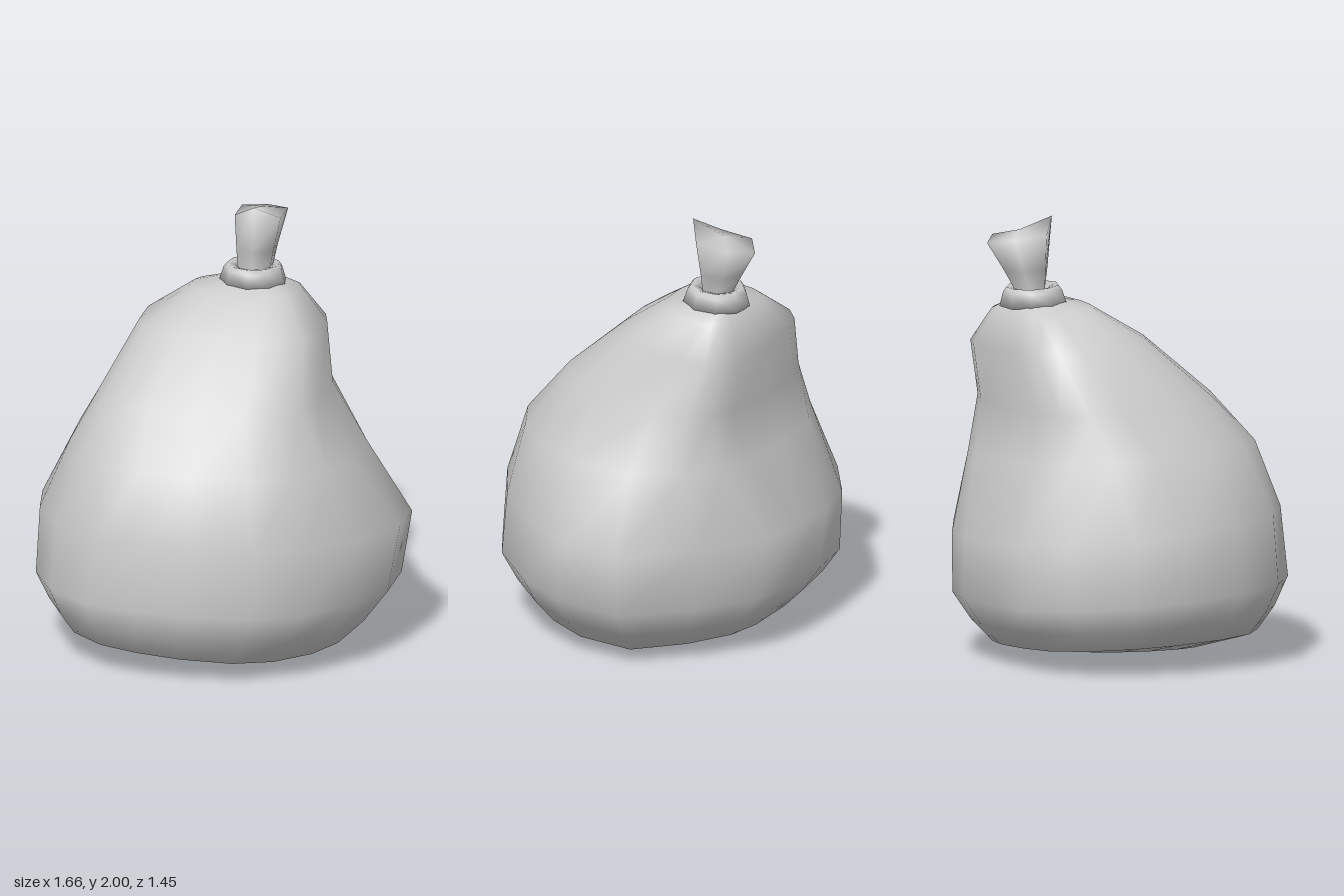
import * as THREE from 'three';

const material = new THREE.MeshStandardMaterial({ color: 0xcccccc });

// Skins closed rings of points (listed bottom to top) and closes both ends with a centre point.
function loft(rings, bottom, top) {
  const n = rings[0].length;
  const points = [...rings.flat(), bottom, top];
  const b = rings.length * n, t = b + 1, last = b - n;
  const index = [];
  for (let i = 0; i < n; i++) {
    const j = (i + 1) % n;
    for (let r = 0; r < last; r += n) {
      index.push(r + i, r + j, r + n + j, r + i, r + n + j, r + n + i);
    }
    index.push(b, j, i, t, last + i, last + j);
  }
  const geometry = new THREE.BufferGeometry();
  geometry.setAttribute('position', new THREE.Float32BufferAttribute(points.flat(), 3));
  geometry.setIndex(index);
  geometry.computeVertexNormals();
  return geometry;
}

function part(name, geometry) {
  const mesh = new THREE.Mesh(geometry, material);
  mesh.name = name;
  return mesh;
}

// Lopsided plan of the full belly, from the front round through +x.
const belly = [
  [0, 0.72], [0.28, 0.67], [0.5, 0.53], [0.7, 0.28], [0.82, 0.02], [0.82, -0.26],
  [0.5, -0.52], [0.2, -0.69], [0, -0.73], [-0.24, -0.73], [-0.44, -0.69], [-0.65, -0.53],
  [-0.79, -0.26], [-0.83, 0], [-0.79, 0.26], [-0.66, 0.52], [-0.45, 0.67], [-0.22, 0.71],
].map(([x, z]) => [x / 0.825, z / 0.725]);

// One section of the sack: limits in x and z, tilts, and how far it is a rounded square.
function sackRing([y, x0, x1, z0, z1, tiltX, tiltZ, square]) {
  return belly.map(([bx, bz], i) => {
    const a = (i / belly.length) * Math.PI * 2;
    const s = Math.sin(a), c = Math.cos(a);
    // The back corners are squarer than the front, the left one most of all
    const power = c > 0 ? 0.75 : s > 0 ? 0.52 : 0.68;
    const soft = (k) => Math.sign(k) * Math.abs(k) ** power;
    const u = THREE.MathUtils.lerp(bx, soft(s), square);
    const v = THREE.MathUtils.lerp(bz, soft(c), square);
    return [
      (x0 + x1) / 2 + (u * (x1 - x0)) / 2,
      y + tiltX * u + tiltZ * v,
      (z0 + z1) / 2 + (v * (z1 - z0)) / 2,
    ];
  });
}

export function createModel() {
  const model = new THREE.Group();
  model.name = 'tiedSack';

  // Sack body: y, x limits, z limits, tilt along x, tilt along z, squareness
  const sections = [
    [0.04, -0.44, 0.38, -0.34, 0.36, -0.03, -0.01, 0.3],
    [0.095, -0.7, 0.56, -0.53, 0.59, -0.04, 0.015, 0.3],
    [0.2, -0.77, 0.68, -0.62, 0.67, -0.03, 0.025, 0.25],
    [0.33, -0.83, 0.785, -0.7, 0.73, -0.02, 0.035, 0.2],
    [0.63, -0.82, 0.83, -0.72, 0.7, -0.025, 0.05, 0],
    [0.96, -0.67, 0.63, -0.59, 0.6, -0.025, 0.025, 0.55],
    [1.19, -0.555, 0.465, -0.54, 0.4, 0, 0.02, 0.95],
    [1.45, -0.41, 0.415, -0.57, 0.1, -0.01, 0.02, 1],
    [1.595, -0.2, 0.29, -0.49, -0.12, 0, 0.02, 1],
    [1.63, -0.01, 0.17, -0.43, -0.26, 0, 0, 1],
  ];
  model.add(part('sackBody', loft(sections.map(sackRing), [0.12, 0, 0.1], [0.08, 1.63, -0.35])));

  // Cord tied round the neck, wider below and dipping slightly to the back
  const cordProfile = [
    [0.07, -0.045], [0.155, -0.04], [0.135, 0.025], [0.12, 0.045], [0.08, 0.035], [0.07, -0.045],
  ].map(([r, y]) => new THREE.Vector2(r, y));
  const cord = part('neckCord', new THREE.LatheGeometry(cordProfile, 9));
  cord.position.set(0.078, 1.65, -0.34);
  cord.rotation.x = -0.05;
  model.add(cord);

  // Gathered cloth above the cord: six-sided, flaring to a slanted, peaked mouth
  const neck = (x, z, rx, rz, heights) => heights.map((y, i) => {
    const a = (i / 6) * Math.PI * 2;
    return [x + (rx * Math.sin(a)) / 0.866, y, z + rz * Math.cos(a)];
  });
  const clothRings = [
    neck(0.08, -0.35, 0.08, 0.08, Array(6).fill(1.6)),
    neck(0.085, -0.355, 0.075, 0.08, Array(6).fill(1.69)),
    neck(0.09, -0.37, 0.085, 0.11, Array(6).fill(1.77)),
    neck(0.104, -0.395, 0.106, 0.165, [2, 1.93, 1.92, 1.9, 1.92, 1.93]),
  ];
  model.add(part('gatheredCloth', loft(clothRings, [0.08, 1.6, -0.35], [0.104, 1.95, -0.395])));

  return model;
}
